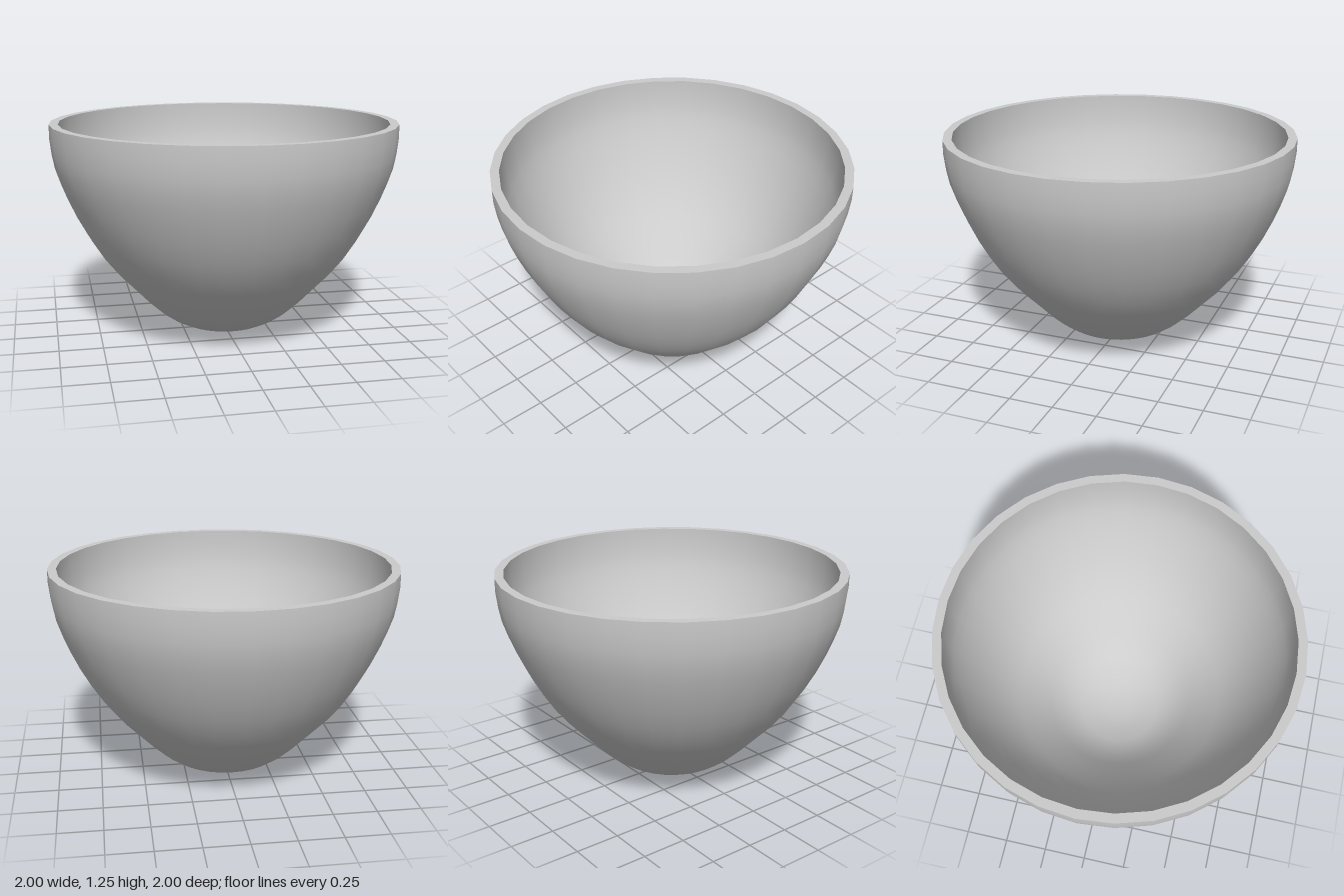
import * as THREE from 'three';

const SEGMENTS = 32;
const WALL = 0.05;

// Outer half-profile, from the centre of the base up to the rim
const outer = [
  [0, 0], [0.09, 0], [0.18, 0.025], [0.26, 0.05], [0.33, 0.085], [0.4, 0.135],
  [0.47, 0.2], [0.56, 0.295], [0.65, 0.39], [0.73, 0.49], [0.8, 0.6],
  [0.86, 0.71], [0.91, 0.82], [0.945, 0.91], [0.975, 1.0], [0.99, 1.08],
  [1, 1.17], [1, 1.25],
].map(([x, y]) => new THREE.Vector2(x, y));

// Shift the profile inward along its normals to get an even wall
function offsetProfile(points, distance) {
  return points.map((p, i) => {
    const a = points[Math.max(i - 1, 0)];
    const b = points[Math.min(i + 1, points.length - 1)];
    const t = b.clone().sub(a).normalize();
    if (i === 0 || i === points.length - 1) t.set(i ? 0 : 1, i ? 1 : 0);
    return new THREE.Vector2(p.x - t.y * distance, p.y + t.x * distance);
  }).filter((p, i) => i === 0 || p.x > 0);
}

export function createModel() {
  const bowl = new THREE.Group();
  bowl.name = 'bowl';
  const material = new THREE.MeshStandardMaterial({ color: 0xcccccc });

  const addLathe = (name, points) => {
    const mesh = new THREE.Mesh(new THREE.LatheGeometry(points, SEGMENTS), material);
    mesh.name = name;
    bowl.add(mesh);
  };

  const inner = offsetProfile(outer, WALL);

  // Separate surfaces keep the rim edges crisp
  addLathe('outerWall', outer);
  addLathe('rim', [outer.at(-1), inner.at(-1)]);
  addLathe('innerWall', inner.reverse());

  return bowl;
}
